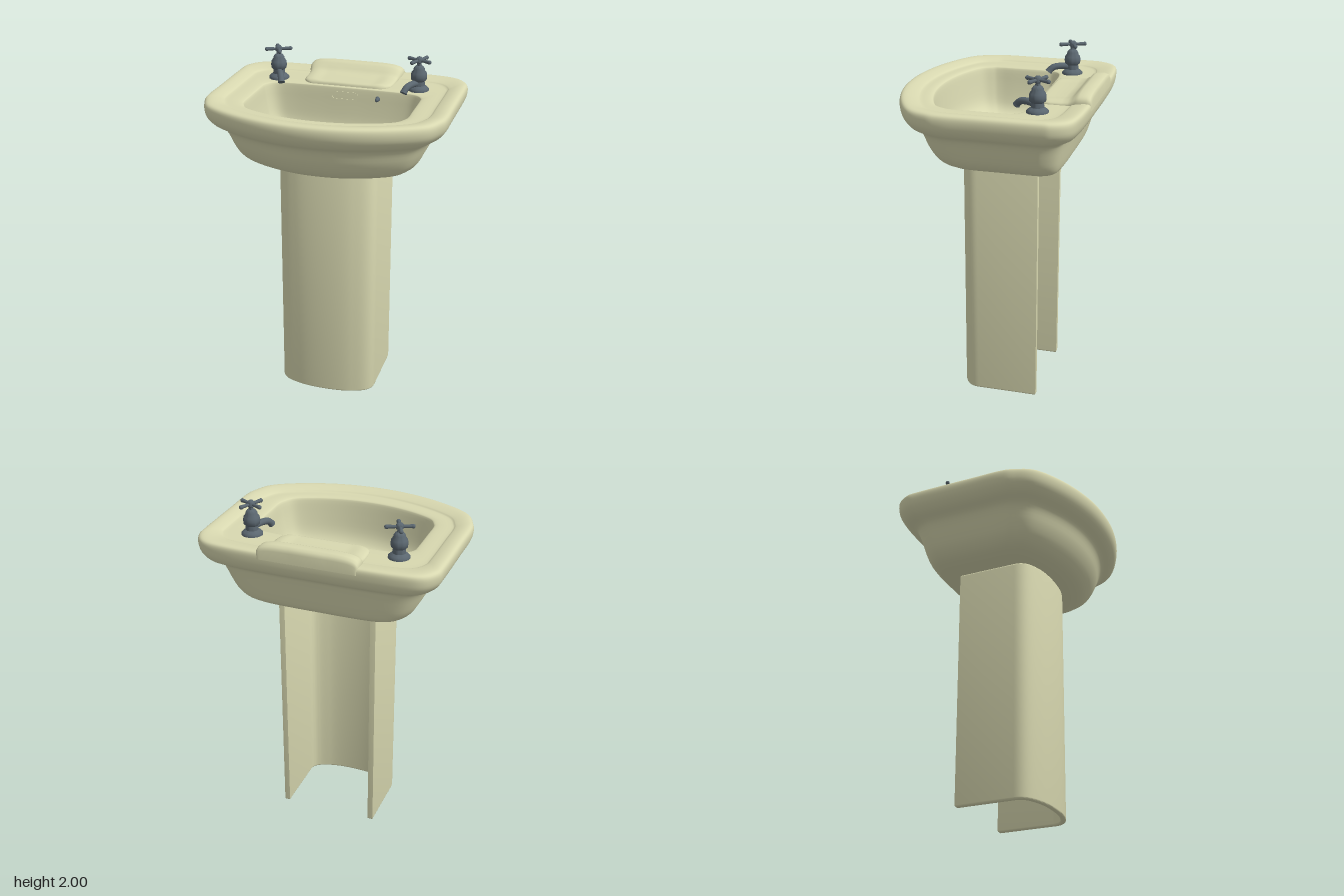
import * as THREE from 'three';
import { toCreasedNormals } from 'three/addons/utils/BufferGeometryUtils.js';

const ceramic = new THREE.MeshStandardMaterial({ color: 0xd8d8b0, side: THREE.DoubleSide });
const metal = new THREE.MeshStandardMaterial({ color: 0x5a666f });

function add(parent, name, geometry, material, x = 0, y = 0, z = 0) {
  const mesh = new THREE.Mesh(geometry, material);
  mesh.name = name;
  mesh.position.set(x, y, z);
  parent.add(mesh);
  return mesh;
}

// Surface through rows of equal numbers of points
function skin(rows, closed) {
  const n = rows[0].length, index = [];
  for (let i = 0; i < rows.length - 1; i++) {
    for (let j = 0; j < (closed ? n : n - 1); j++) {
      const k = (j + 1) % n, a = i * n + j, b = i * n + k;
      index.push(a, b, a + n, b, b + n, a + n);
    }
  }
  const g = new THREE.BufferGeometry();
  g.setAttribute('position', new THREE.Float32BufferAttribute(rows.flat(2), 3));
  g.setIndex(index);
  g.computeVertexNormals();
  return g;
}

// Plan outline shared by every basin ring: straight back, bowed front
const half = [[0, 1], [0.31, 0.965], [0.62, 0.85], [0.88, 0.67], [0.975, 0.46], [1, 0.3], [1, 0],
  [1, -0.6], [0.985, -0.79], [0.89, -0.935], [0.7, -0.985], [0.35, -1], [0, -1]];
const mirrored = half.slice(1, -1).reverse().map(([x, z]) => [-x, z]);
const outline = new THREE.CatmullRomCurve3(
  [...half, ...mirrored].map(([x, z]) => new THREE.Vector3(x, 0, z)), true, 'catmullrom', 0.5);

// Basin rings from the waste, under and around the outside, over the rim and into the bowl:
// [half width, front z, back z, y, roundness]
const basinRings = [
  [0.048, 0.048, -0.048, 1.465, 1], [0.05, 0.05, -0.05, 1.442, 1], [0.07, 0.07, -0.07, 1.438, 1],
  [0.36, 0.24, -0.36, 1.438, 0], [0.42, 0.285, -0.395, 1.443, 0], [0.475, 0.34, -0.415, 1.465, 0],
  [0.52, 0.385, -0.43, 1.51, 0], [0.55, 0.42, -0.445, 1.57, 0], [0.575, 0.442, -0.46, 1.63, 0],
  [0.6, 0.465, -0.475, 1.665, 0], [0.65, 0.51, -0.525, 1.695, 0], [0.683, 0.543, -0.55, 1.735, 0],
  [0.694, 0.555, -0.558, 1.775, 0], [0.692, 0.553, -0.558, 1.808, 0], [0.675, 0.538, -0.545, 1.823, 0],
  [0.64, 0.505, -0.51, 1.823, 0], [0.6, 0.46, -0.455, 1.812, 0], [0.585, 0.445, -0.435, 1.803, 0],
  [0.53, 0.405, -0.33, 1.802, 0], [0.482, 0.378, -0.25, 1.797, 0], [0.468, 0.367, -0.237, 1.78, 0],
  [0.455, 0.355, -0.23, 1.7, 0], [0.435, 0.34, -0.22, 1.61, 0], [0.41, 0.315, -0.205, 1.555, 0.05],
  [0.36, 0.275, -0.18, 1.525, 0.1], [0.22, 0.17, -0.13, 1.502, 0.4], [0.065, 0.065, -0.065, 1.492, 1],
  [0.052, 0.052, -0.052, 1.488, 1], [0.048, 0.048, -0.048, 1.465, 1]];

function basinGeometry() {
  const curve = (f) => new THREE.CatmullRomCurve3(
    basinRings.map((r) => new THREE.Vector3(...f(r))), false, 'catmullrom', 0.5);
  const size = curve((r) => r.slice(0, 3)), lift = curve((r) => [r[3], r[4], 0]);
  const steps = (basinRings.length - 1) * 3, sides = 144, rows = [];
  for (let i = 0; i <= steps; i++) {
    const s = size.getPoint(i / steps), l = lift.getPoint(i / steps);
    const row = [];
    for (let j = 0; j < sides; j++) {
      const p = outline.getPoint(j / sides);
      p.lerp(p.clone().normalize(), THREE.MathUtils.clamp(l.y, 0, 1));
      row.push([p.x * s.x, l.x, (s.y + s.z) / 2 + p.z * (s.y - s.z) / 2]);
    }
    rows.push(row);
  }
  return skin(rows, true);
}

// Soap tray rising to an upstand at the back: [z, half width, top y, dip in the middle]
function trayGeometry() {
  const base = 1.785;
  const slices = [[-0.56, 0.27, base, 0], [-0.559, 0.28, 1.845, 0], [-0.55, 0.287, 1.867, 0],
    [-0.53, 0.289, 1.875, 0], [-0.49, 0.287, 1.874, 0], [-0.47, 0.283, 1.866, 0],
    [-0.45, 0.276, 1.846, 0.003], [-0.425, 0.271, 1.831, 0.006], [-0.39, 0.27, 1.827, 0.008],
    [-0.33, 0.268, 1.826, 0.008], [-0.295, 0.262, 1.825, 0.007], [-0.272, 0.245, 1.823, 0.005],
    [-0.26, 0.225, 1.817, 0.002], [-0.254, 0.205, 1.805, 0], [-0.253, 0.2, base, 0]];
  const shape = (v) => Math.sign(v) * Math.abs(v) ** 0.4;
  const rows = slices.map(([z, w, top, dip]) => {
    const row = [];
    for (let j = 0; j <= 48; j++) {
      const a = Math.PI * j / 48, u = shape(Math.cos(a));
      const sink = dip * (1 - THREE.MathUtils.smoothstep(Math.abs(u), 0.55, 0.85));
      row.push([w * u, base + (top - base) * shape(Math.max(0, Math.sin(a))) - sink, z]);
    }
    return row;
  });
  return skin(rows, false);
}

// Hollow pedestal, U-shaped in plan and open at the back
function pedestalGeometry() {
  const b = 0.012, s = new THREE.Shape();
  s.moveTo(0.278, 0.26);
  s.lineTo(0.278, -0.08);
  s.bezierCurveTo(0.278, -0.15, 0.22, -0.165, 0.16, -0.184);
  s.bezierCurveTo(0.08, -0.207, -0.08, -0.207, -0.16, -0.184);
  s.bezierCurveTo(-0.22, -0.165, -0.278, -0.15, -0.278, -0.08);
  s.lineTo(-0.278, 0.26);
  s.lineTo(-0.27, 0.26);
  s.lineTo(-0.27, -0.08);
  s.bezierCurveTo(-0.268, -0.142, -0.215, -0.157, -0.157, -0.176);
  s.bezierCurveTo(-0.08, -0.199, 0.08, -0.199, 0.157, -0.176);
  s.bezierCurveTo(0.215, -0.157, 0.268, -0.142, 0.27, -0.08);
  s.lineTo(0.27, 0.26);
  s.closePath();
  const g = new THREE.ExtrudeGeometry(s, {
    depth: 1.44 - 2 * b, bevelThickness: b, bevelSize: b, bevelSegments: 4, curveSegments: 16 });
  g.rotateX(-Math.PI / 2).translate(0, b, 0);
  return toCreasedNormals(g, 0.7);
}

// Pillar tap with its spout along +z
function makeTap(name) {
  const tap = new THREE.Group();
  tap.name = name;
  const profile = [[0, 0], [0.06, 0], [0.06, 0.01], [0.05, 0.02], [0.036, 0.03], [0.034, 0.055],
    [0.045, 0.065], [0.047, 0.085], [0.044, 0.105], [0.034, 0.118], [0.032, 0.13], [0.024, 0.142],
    [0.014, 0.148], [0.013, 0.16], [0.02, 0.166], [0.02, 0.188], [0.012, 0.197], [0, 0.199]];
  const body = new THREE.LatheGeometry(profile.map((p) => new THREE.Vector2(...p)), 32);
  add(tap, 'tapBody', toCreasedNormals(body, 0.8), metal);

  const path = new THREE.CatmullRomCurve3([[0.02, 0.045], [0.07, 0.049], [0.115, 0.042], [0.14, 0.022]]
    .map(([z, y]) => new THREE.Vector3(0, y, z)));
  add(tap, 'spout', new THREE.TubeGeometry(path, 20, 0.019, 16), metal);
  const nozzle = add(tap, 'nozzle', new THREE.CylinderGeometry(0.019, 0.021, 0.014, 20), metal, 0, 0.021, 0.14);
  nozzle.rotation.x = -0.65;

  // Cross handle
  for (let i = 0; i < 4; i++) {
    const arm = new THREE.Group();
    arm.name = 'handleArm';
    arm.rotation.y = i * Math.PI / 2;
    const rod = add(arm, 'armRod', new THREE.CylinderGeometry(0.011, 0.008, 0.06, 12), metal, 0, 0.177, 0.04);
    rod.rotation.x = Math.PI / 2;
    add(arm, 'armKnob', new THREE.SphereGeometry(0.012, 14, 10), metal, 0, 0.177, 0.07);
    tap.add(arm);
  }
  return tap;
}

// Waste grate with a circle of holes
function grateGeometry() {
  const disc = new THREE.Shape().absarc(0, 0, 0.05, 0, Math.PI * 2);
  for (let i = 0; i < 6; i++) {
    const a = i * Math.PI / 3;
    disc.holes.push(new THREE.Path().absarc(0.026 * Math.cos(a), 0.026 * Math.sin(a), 0.01, 0, Math.PI * 2, true));
  }
  const g = new THREE.ExtrudeGeometry(disc, { depth: 0.008, bevelEnabled: false, curveSegments: 20 });
  return g.rotateX(-Math.PI / 2);
}

// Raised lip of the overflow slot
function overflowGeometry() {
  const stadium = (target, w, r) => target.absarc(w, 0, r, -Math.PI / 2, Math.PI / 2)
    .absarc(-w, 0, r, Math.PI / 2, Math.PI * 1.5).closePath();
  const s = stadium(new THREE.Shape(), 0.058, 0.024);
  s.holes.push(stadium(new THREE.Path(), 0.058, 0.018));
  return new THREE.ExtrudeGeometry(s, { depth: 0.006, bevelEnabled: false });
}

export function createModel() {
  const model = new THREE.Group();
  model.name = 'pedestalBasin';
  add(model, 'basin', basinGeometry(), ceramic);
  add(model, 'soapTray', trayGeometry(), ceramic);
  add(model, 'pedestal', pedestalGeometry(), ceramic);
  add(model, 'wasteGrate', grateGeometry(), ceramic, 0, 1.465, 0);
  add(model, 'overflow', overflowGeometry(), ceramic, 0, 1.745, -0.236).rotation.x = -0.09;

  // Chain stay on the back wall of the bowl
  const stay = add(model, 'chainStay', new THREE.CylinderGeometry(0.008, 0.015, 0.03, 14), metal, 0.2, 1.745, -0.22);
  stay.rotation.x = Math.PI / 2;
  add(model, 'chainStayKnob', new THREE.SphereGeometry(0.011, 14, 10), metal, 0.2, 1.745, -0.208);

  for (const side of [-1, 1]) {
    const tap = makeTap(side > 0 ? 'leftTap' : 'rightTap');
    tap.position.set(side * 0.425, 1.8, -0.3);
    tap.rotation.y = -side * 0.42;
    model.add(tap);
  }
  return model;
}
